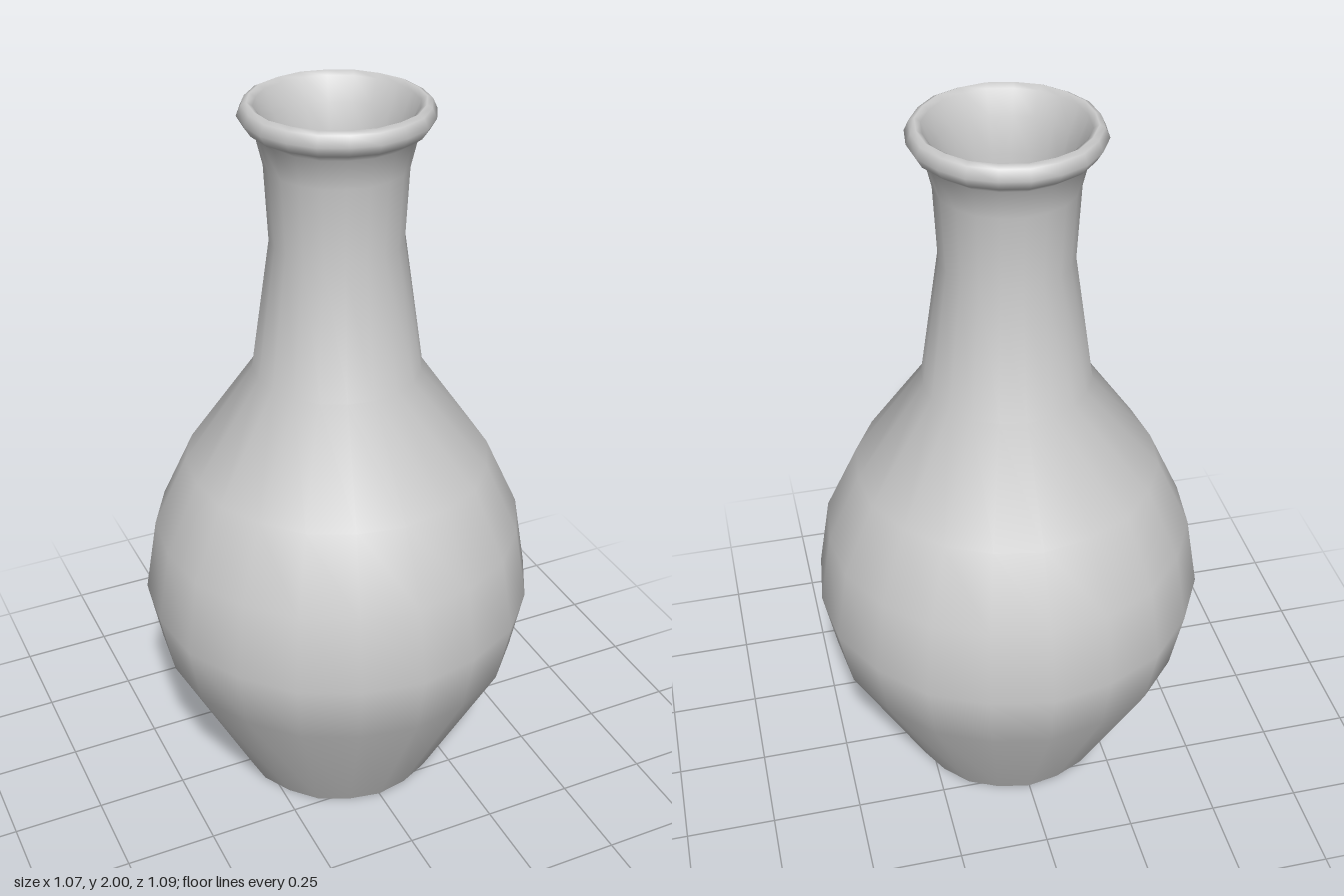
import * as THREE from 'three';

const SIDES = 20;

// Turned surface whose even ribs stand slightly proud of the odd ones
function turned(name, profile, material) {
  const points = profile.map(([r, y]) => new THREE.Vector2(r, y));
  const geometry = new THREE.LatheGeometry(points, SIDES);
  const pos = geometry.attributes.position;
  for (let i = 0; i < pos.count; i++) {
    const rib = Math.floor(i / profile.length);
    const k = rib % 2 === 0 ? 1.005 : 0.995;
    pos.setX(i, pos.getX(i) * k * 0.993);
    pos.setZ(i, pos.getZ(i) * k);
  }
  const mesh = new THREE.Mesh(geometry, material);
  mesh.name = name;
  return mesh;
}

export function createModel() {
  const group = new THREE.Group();
  group.name = 'vase';
  const clay = new THREE.MeshStandardMaterial({ color: 0xcccccc });
  clay.name = 'light grey clay';

  // Outer belly and neck, rolled lip, then back down the inside wall
  const wall = [
    [0.29, 0], [0.505, 0.42], [0.54, 0.6], [0.505, 0.81], [0.413, 1.01],
    [0.226, 1.28], [0.174, 1.64], [0.184, 1.84], [0.203, 1.92],
    [0.23, 1.94], [0.246, 1.967], [0.234, 1.993], [0.22, 2], [0.205, 1.99],
    [0.18, 1.93], [0.152, 1.84], [0.144, 1.64], [0.195, 1.29],
    [0.38, 1.01], [0.47, 0.81], [0.505, 0.6], [0.47, 0.42], [0.27, 0.03],
  ];
  group.add(turned('vaseWall', wall, clay));

  // Flat underside and inside floor
  group.add(turned('base', [[0, 0], [0.29, 0]], clay));
  group.add(turned('innerFloor', [[0.27, 0.03], [0, 0.03]], clay));
  return group;
}
